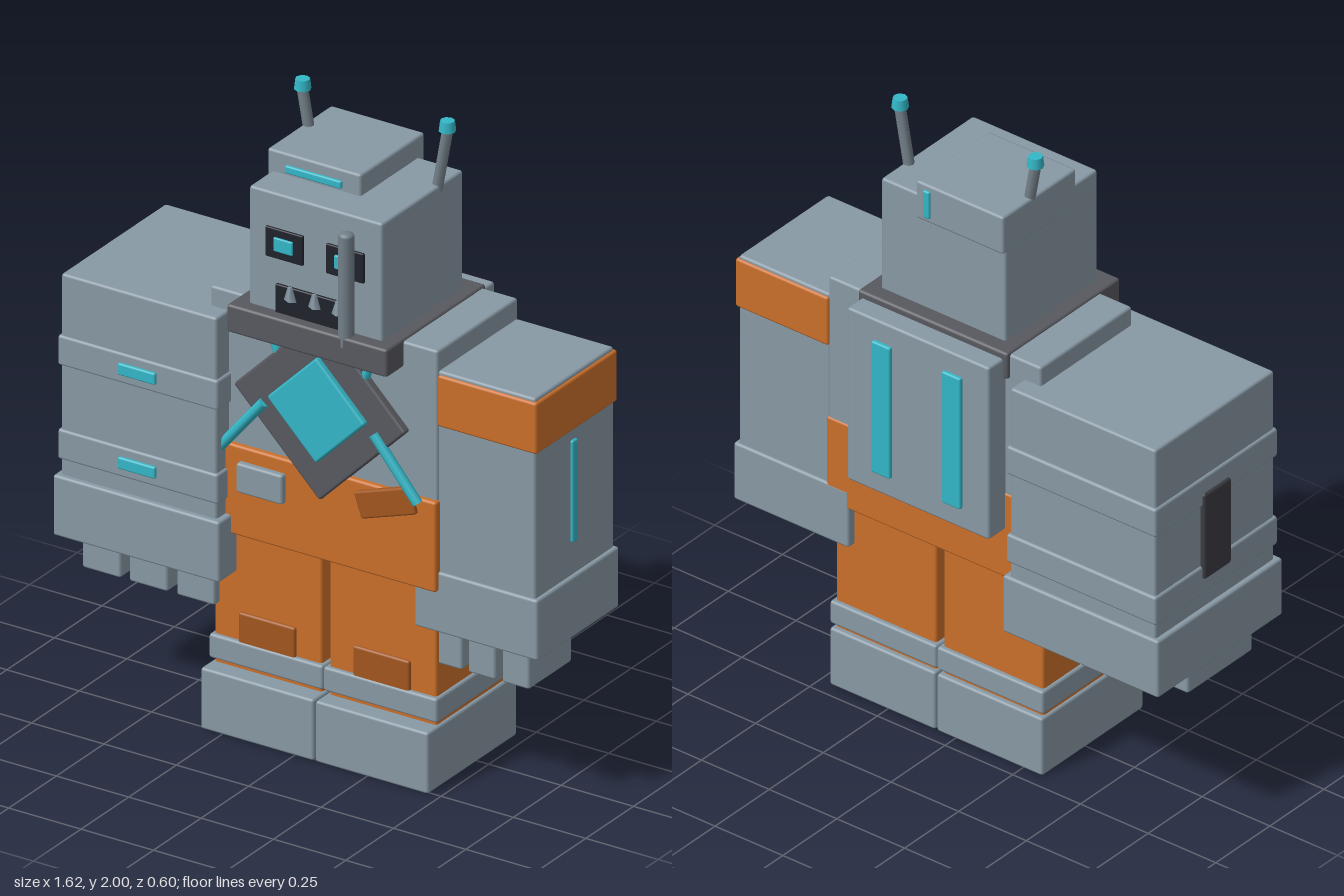
import * as THREE from 'three';
import { RoundedBoxGeometry } from 'three/addons/geometries/RoundedBoxGeometry.js';

const mat = (name, color) => {
  const m = new THREE.MeshStandardMaterial({ color });
  m.name = name;
  return m;
};

export function createModel() {
  const root = new THREE.Group();
  root.name = 'robot';
  const steel = mat('steel', 0x8899a5);
  const orange = mat('orange', 0xcb6f2a);
  const rust = mat('rust', 0xa2561f);
  const teal = mat('teal', 0x33b7c7);
  const iron = mat('iron', 0x58595f);
  const charcoal = mat('charcoal', 0x3b3c42);
  const black = mat('black', 0x20222b);
  const pipe = mat('pipeSteel', 0x727f88);

  const CX = 0.07; // mirror line of body, legs and head
  const add = (name, geo, m, parent = root) => {
    const mesh = new THREE.Mesh(geo, m);
    mesh.name = name;
    parent.add(mesh);
    return mesh;
  };
  const group = (name) => {
    const g = new THREE.Group();
    g.name = name;
    root.add(g);
    return g;
  };
  // softly bevelled box given by its limits on each axis
  const box = (name, m, [x0, x1], [y0, y1], [z0, z1], parent) => {
    const w = x1 - x0, h = y1 - y0, d = z1 - z0;
    const r = Math.min(0.008, Math.min(w, h, d) * 0.3);
    const mesh = add(name, new RoundedBoxGeometry(w, h, d, 1, r), m, parent);
    mesh.position.set((x0 + x1) / 2, (y0 + y1) / 2, (z0 + z1) / 2);
    return mesh;
  };
  // rod between two points
  const rod = (name, m, a, b, r, sides, parent) => {
    const p = new THREE.Vector3(...a), q = new THREE.Vector3(...b);
    const mesh = add(name, new THREE.CylinderGeometry(r, r, p.distanceTo(q), sides), m, parent);
    mesh.position.copy(p).add(q).multiplyScalar(0.5);
    mesh.quaternion.setFromUnitVectors(new THREE.Vector3(0, 1, 0), q.sub(p).normalize());
    return mesh;
  };

  // Legs, boots, ankle bands and knee patches
  for (const s of [-1, 1]) {
    const leg = group(s < 0 ? 'rightLeg' : 'leftLeg');
    const span = (a, b) => (s > 0 ? [CX + a, CX + b] : [CX - b, CX - a]);
    box('boot', steel, span(0.003, 0.393), [0, 0.196], [-0.205, 0.263], leg);
    box('ankleBand', steel, span(0.001, 0.394), [0.21, 0.287], [-0.203, 0.218], leg);
    box('trouserLeg', orange, span(0.013, 0.383), [0.15, 0.66], [-0.187, 0.203], leg);
    box('kneePatch', rust, span(0.1, 0.295), [0.25, 0.38], [0.19, 0.213], leg);
  }

  // Torso and overalls
  const torso = group('torso');
  box('chest', steel, [-0.322, 0.463], [0.7, 1.405], [-0.21, 0.212], torso);
  box('overalls', orange, [-0.327, 0.468], [0.635, 0.925], [-0.214, 0.23], torso);
  box('pocket', steel, [-0.21, -0.05], [0.785, 0.88], [0.22, 0.25], torso);
  box('loosePatch', rust, [0.2, 0.4], [0.842, 0.928], [0.22, 0.245], torso).rotation.z = 0.33;
  box('collar', iron, [-0.208, 0.345], [1.323, 1.412], [-0.222, 0.3], torso);

  // Chest diamond with its core and straps
  box('diamondFrame', iron, [CX - 0.21, CX + 0.21], [0.915, 1.335], [0.2, 0.238], torso).rotation.z = Math.PI / 4;
  box('diamondCore', teal, [CX - 0.12, CX + 0.12], [1.005, 1.245], [0.22, 0.257], torso).rotation.z = Math.PI / 4;
  for (const s of [-1, 1]) {
    rod('lowerStrap', teal, [CX + s * 0.19, 1.095, 0.238], [CX + s * 0.342, 0.912, 0.238], 0.016, 8, torso);
    rod('upperStrap', teal, [CX + s * 0.18, 1.34, 0.222], [CX + s * 0.135, 1.22, 0.222], 0.015, 8, torso);
  }

  // Back unit with two light strips
  const back = group('backUnit');
  box('backPanel', steel, [-0.192, 0.332], [0.8, 1.39], [-0.288, -0.2], back);
  for (const x of [-0.06, 0.2])
    box('backLight', teal, [x - 0.035, x + 0.035], [0.87, 1.32], [-0.3, -0.28], back);

  // Large right arm
  const big = group('rightArm');
  box('armBlock', steel, [-0.795, -0.258], [0.66, 1.342], [-0.272, 0.277], big);
  for (const y of [1.097, 0.795]) {
    box('armBand', steel, [-0.803, -0.25], [y - 0.048, y + 0.048], [-0.281, 0.284], big);
    box('bandLight', teal, [-0.59, -0.46], [y - 0.019, y + 0.019], [0.275, 0.294], big);
  }
  box('sidePanel', charcoal, [-0.812, -0.78], [0.8, 1.092], [-0.065, 0.06], big);
  box('hand', steel, [-0.812, -0.238], [0.503, 0.697], [-0.282, 0.295], big);
  for (const x of [-0.687, -0.525, -0.362])
    box('finger', steel, [x - 0.066, x + 0.066], [0.388, 0.52], [-0.07, 0.23], big);

  // Smaller left arm
  const small = group('leftArm');
  box('armBlock', steel, [0.46, 0.797], [0.66, 1.341], [-0.206, 0.207], small);
  box('shoulderCap', orange, [0.463, 0.806], [1.165, 1.33], [-0.213, 0.215], small);
  box('armLight', teal, [0.785, 0.806], [0.802, 1.13], [-0.008, 0.022], small);
  box('hand', steel, [0.385, 0.81], [0.503, 0.697], [-0.215, 0.216], small);
  for (const x of [0.485, 0.6, 0.717])
    box('finger', steel, [x - 0.047, x + 0.047], [0.388, 0.52], [-0.037, 0.19], small);

  // Head with raised plate
  const head = group('head');
  box('skull', steel, [-0.16, 0.3], [1.39, 1.788], [-0.17, 0.255], head);
  box('topPlate', steel, [-0.175, 0.148], [1.728, 1.856], [-0.2, 0.137], head);
  box('plateFrontLight', teal, [-0.11, 0.085], [1.796, 1.821], [0.128, 0.146], head);
  box('plateBackLight', teal, [0.093, 0.118], [1.745, 1.838], [-0.208, -0.19], head);

  // Face
  for (const s of [-1, 1]) {
    const ex = CX + s * 0.105;
    box('eyeSocket', black, [ex - 0.065, ex + 0.065], [1.582, 1.678], [0.25, 0.263], head);
    box('eye', teal, [ex - 0.033, ex + 0.033], [1.608, 1.652], [0.257, 0.27], head);
  }
  box('mouth', black, [-0.065, 0.17], [1.405, 1.502], [0.25, 0.264], head);
  for (const x of [-0.012, 0.072, 0.153]) {
    const tooth = add('tooth', new THREE.CylinderGeometry(0.008, 0.022, 0.045, 4), steel, head);
    tooth.position.set(x, 1.482, 0.264);
    tooth.scale.z = 0.5;
  }
  rod('facePipe', pipe, [0.19, 1.38, 0.277], [0.19, 1.73, 0.277], 0.024, 12, head);
  const dome = add('pipeCap', new THREE.SphereGeometry(0.024, 12, 6), pipe, head);
  dome.position.set(0.19, 1.73, 0.277);
  dome.scale.y = 0.5;

  // Antennae
  for (const s of [-1, 1]) {
    rod('antenna', pipe, [CX + s * 0.213, 1.76, -0.057], [CX + s * 0.252, 1.975, -0.057], 0.017, 8, head);
    const tip = add('antennaTip', new THREE.CylinderGeometry(0.022, 0.026, 0.033, 8), teal, head);
    tip.position.set(CX + s * 0.25, 1.983, -0.057);
  }
  return root;
}
